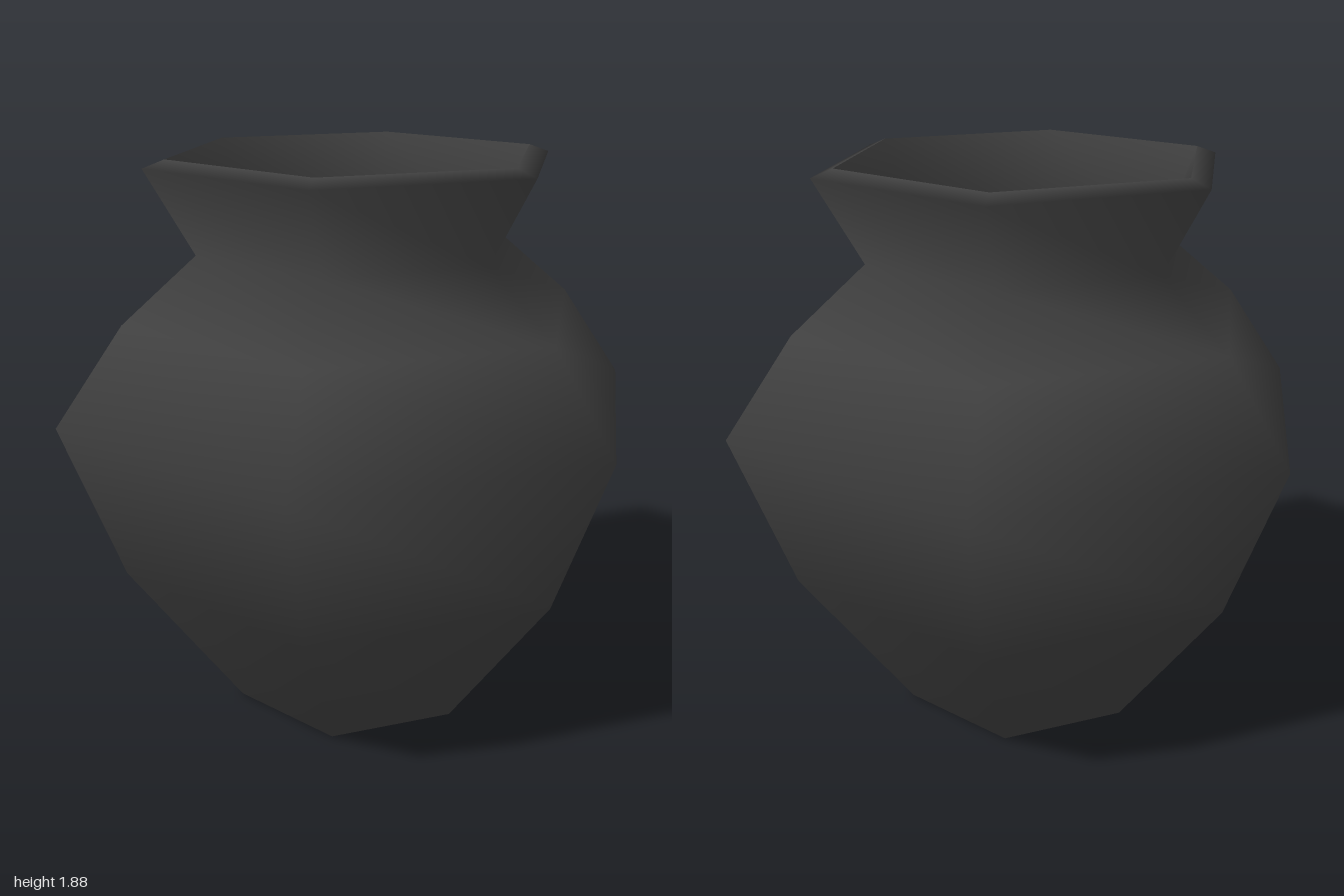
import * as THREE from 'three';

const SIDES = 6;

export function createModel() {
  const group = new THREE.Group();
  group.name = 'vase';
  const charcoal = new THREE.MeshStandardMaterial({ color: 0x404040 });
  charcoal.name = 'charcoal';

  // Six-sided turned part with corners on the x axis; profile is [radius, height]
  function turned(name, profile) {
    const points = profile.map(([r, y]) => new THREE.Vector2(r, y));
    const mesh = new THREE.Mesh(new THREE.LatheGeometry(points, SIDES, Math.PI / 2), charcoal);
    mesh.name = name;
    group.add(mesh);
  }

  // Underside
  turned('base', [[0, 0], [0.425, 0]]);

  // Belly, shoulder, neck and flared rim
  turned('body', [
    [0.425, 0], [0.805, 0.53], [1, 1.06], [0.775, 1.375],
    [0.53, 1.58], [0.685, 1.855], [0.615, 1.88],
  ]);

  // Hollow inside, from the rim down to the floor
  turned('interior', [
    [0.615, 1.88], [0.485, 1.58], [0.72, 1.36], [0.94, 1.06],
    [0.75, 0.55], [0.4, 0.06], [0, 0.06],
  ]);

  return group;
}
